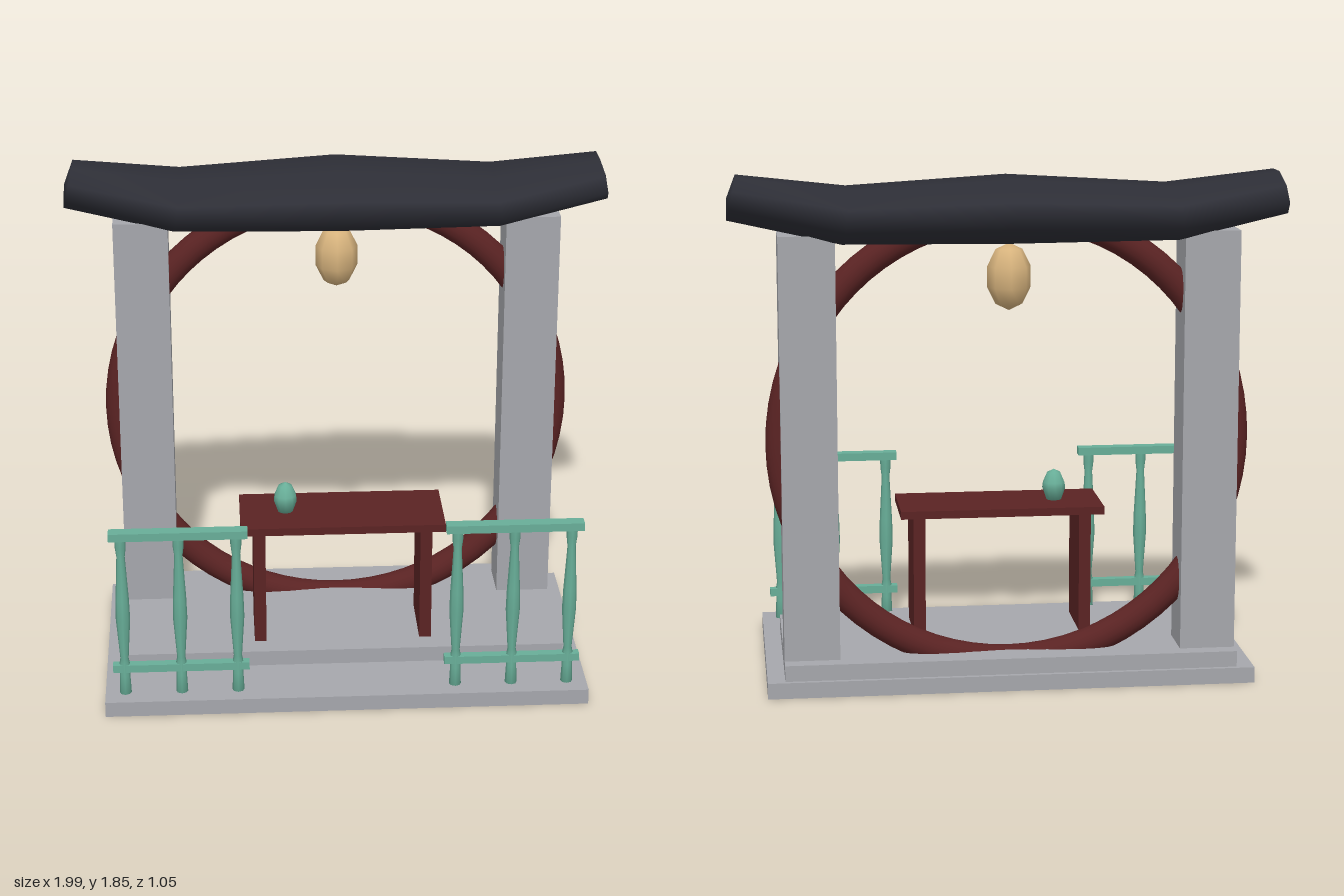
import * as THREE from 'three';

const mat = (name, color) => {
  const m = new THREE.MeshStandardMaterial({ color });
  m.name = name;
  return m;
};

export function createModel() {
  const model = new THREE.Group();
  model.name = 'gatePavilion';
  const stone = mat('greyStone', 0xa6a7ac);
  const red = mat('darkRedWood', 0x5a2323);
  const black = mat('charcoalRoof', 0x2d2e36);
  const green = mat('jadeGreen', 0x68ae98);
  const tan = mat('tanPaper', 0xd8b47e);

  const add = (parent, name, geometry, material, x = 0, y = 0, z = 0) => {
    const mesh = new THREE.Mesh(geometry, material);
    mesh.name = name;
    mesh.position.set(x, y, z);
    parent.add(mesh);
    return mesh;
  };
  // Box given by its minimum and maximum on each axis
  const box = (parent, name, material, x0, x1, y0, y1, z0, z1) =>
    add(parent, name, new THREE.BoxGeometry(x1 - x0, y1 - y0, z1 - z0), material,
      (x0 + x1) / 2, (y0 + y1) / 2, (z0 + z1) / 2);
  const lathe = (points, sides) =>
    new THREE.LatheGeometry(points.map(([r, y]) => new THREE.Vector2(r, y)), sides);

  const cx = -0.007, gateZ = -0.26;

  // Stepped base and pillars
  box(model, 'lowerStep', stone, -0.89, 0.876, 0, 0.058, -0.422, 0.522);
  box(model, 'upperStep', stone, -0.827, 0.813, 0.058, 0.116, -0.405, 0.272);
  for (const s of [-1, 1]) {
    const x = cx + s * 0.72;
    box(model, s > 0 ? 'leftPillar' : 'rightPillar', stone,
      x - 0.1, x + 0.1, 0.116, 1.648, gateZ - 0.088, gateZ + 0.088);
  }

  // Round gate ring passing through the pillars
  add(model, 'gateRing', new THREE.TorusGeometry(0.82, 0.053, 16, 72), red, cx, 0.893, gateZ);

  // Roof: octagonal sections [x, centre y, half height, half depth, lean], ends swept up
  const stations = [
    [-0.978, 1.778, 0.075, 0.122, 0.017],
    [-0.585, 1.712, 0.094, 0.22, 0.012],
    [0, 1.727, 0.112, 0.263, 0],
    [0.585, 1.712, 0.094, 0.22, -0.012],
    [0.978, 1.778, 0.075, 0.122, -0.017],
  ];
  const sides = 8, pos = [], index = [];
  for (const [x, y, h, d, lean] of stations) {
    for (let j = 0; j < sides; j++) {
      const t = ((j + 0.5) / sides) * Math.PI * 2, k = Math.cos(Math.PI / 8);
      const v = Math.sin(t) / k;
      pos.push(x + lean * v, y + h * v, (d * Math.cos(t)) / k);
    }
  }
  const last = (stations.length - 1) * sides, startCap = last + sides, endCap = startCap + 1;
  pos.push(-0.993, 1.775, 0, 0.993, 1.775, 0);
  for (let j = 0; j < sides; j++) {
    const n = (j + 1) % sides;
    for (let i = 0; i < last; i += sides) {
      index.push(i + j, i + sides + j, i + n, i + sides + j, i + sides + n, i + n);
    }
    index.push(startCap, j, n, endCap, last + n, last + j);
  }
  const roof = new THREE.BufferGeometry();
  roof.setAttribute('position', new THREE.Float32BufferAttribute(pos, 3));
  roof.setIndex(index);
  roof.computeVertexNormals();
  add(model, 'roof', roof, black, cx, 0, gateZ);

  // Hanging lantern
  const lantern = add(model, 'lantern', new THREE.SphereGeometry(1, 8, 5), tan, cx, 1.485, gateZ);
  lantern.scale.set(0.082, 0.121, 0.082);

  // Table with slab legs
  const table = new THREE.Group();
  table.name = 'table';
  model.add(table);
  box(table, 'tableTop', red, -0.385, 0.371, 0.565, 0.594, -0.09, 0.215);
  for (const s of [-1, 1]) {
    const x = cx + s * 0.309;
    box(table, 'tableLeg', red, x - 0.022, x + 0.022, 0.116, 0.565, -0.064, 0.19);
  }

  // Egg-shaped ornament on the table
  const egg = lathe([[0, 0], [0.028, 0], [0.044, 0.045], [0.041, 0.066], [0.025, 0.103], [0, 0.116]], 10);
  add(model, 'eggOrnament', egg, green, -0.215, 0.594, 0.06);

  // Railings with turned posts
  const post = lathe([[0, 0.058], [0.022, 0.058], [0.019, 0.13], [0.019, 0.18], [0.015, 0.2],
    [0.026, 0.36], [0.024, 0.44], [0.015, 0.61], [0.02, 0.65], [0.02, 0.69]], 8);
  for (const s of [-1, 1]) {
    const rail = new THREE.Group();
    rail.name = s > 0 ? 'leftRailing' : 'rightRailing';
    rail.position.set(cx + s * 0.604, 0, 0.445);
    model.add(rail);
    box(rail, 'handrail', green, -0.248, 0.248, 0.679, 0.709, -0.023, 0.023);
    box(rail, 'lowerRail', green, -0.248, 0.248, 0.147, 0.176, -0.017, 0.017);
    for (const x of [-0.206, 0, 0.206]) add(rail, 'railPost', post, green, x);
  }
  return model;
}
